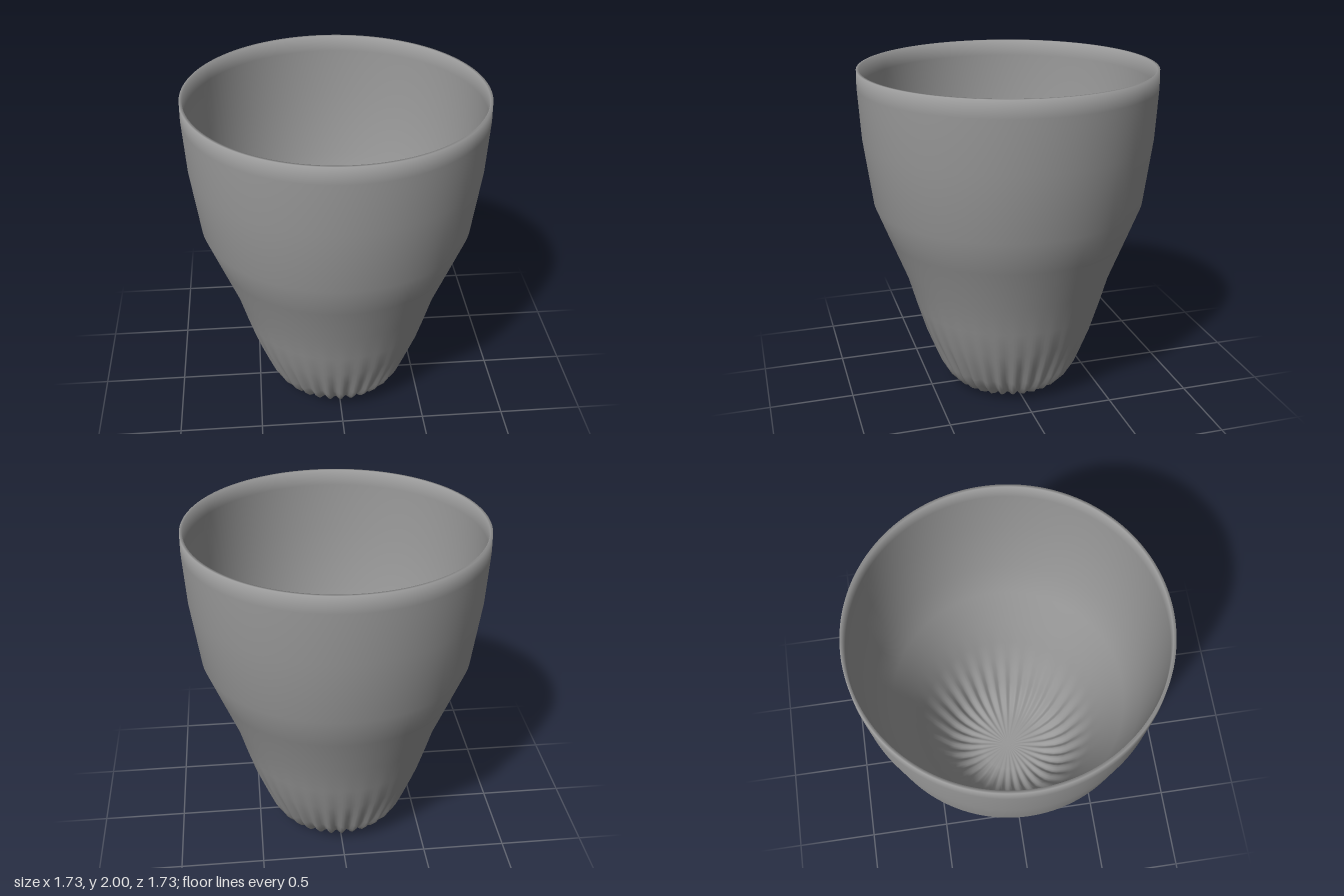
import * as THREE from 'three';
import { mergeVertices } from 'three/addons/utils/BufferGeometryUtils.js';

const FLUTES = 32;
const WALL = 0.016;

// Outer profile from base to rim: radius, height
const OUTER = [
  [0.2, 0.006], [0.27, 0.015], [0.335, 0.05], [0.385, 0.105], [0.42, 0.165], [0.47, 0.28], [0.52, 0.4],
  [0.57, 0.56], [0.62, 0.74], [0.72, 1.0], [0.8, 1.21], [0.85, 1.6], [0.866, 1.9], [0.864, 2.0],
];

// Flute depth: strongest on the base curve, fading up the wall and towards the centre
function fluteDepth(r, y) {
  const up = 1 - THREE.MathUtils.smoothstep(y, 0.05, 0.55);
  return 0.011 * up * THREE.MathUtils.smoothstep(r, 0.08, 0.3);
}

function cupGeometry() {
  // Closed wall: underside, outside, rim, inside, inner floor
  const inner = OUTER.map(([r, y], i) => [r - WALL, i === OUTER.length - 1 ? y : y + WALL * Math.max(0, 1 - y * 2)]).reverse();
  const profile = [[0, 0.006], ...OUTER, ...inner, [0, 0.022]].map(([r, y]) => new THREE.Vector2(r, y));
  let geometry = new THREE.LatheGeometry(profile, FLUTES * 6);

  // Press the flutes into both sides of the wall
  const p = geometry.attributes.position;
  for (let i = 0; i < p.count; i++) {
    const x = p.getX(i), y = p.getY(i), z = p.getZ(i);
    const r = Math.hypot(x, z);
    if (r < 0.01) continue;
    const wave = fluteDepth(r, y) * Math.cos(FLUTES * Math.atan2(x, z));
    const k = 1 + wave / r;
    p.setXYZ(i, x * k, Math.max(0, y - wave * 0.5), z * k);
  }

  geometry.deleteAttribute('uv');
  geometry.deleteAttribute('normal');
  geometry = mergeVertices(geometry, 1e-5);
  geometry.computeVertexNormals();

  // Soft rolled shading on both edges of the rim
  const q = geometry.attributes.position, n = geometry.attributes.normal;
  const v = new THREE.Vector3();
  for (let i = 0; i < q.count; i++) {
    if (q.getY(i) < 1.99) continue;
    const side = Math.hypot(q.getX(i), q.getZ(i)) > 0.856 ? 1 : -1;
    v.set(q.getX(i) * side, 0, q.getZ(i) * side).normalize().setY(1).normalize();
    n.setXYZ(i, v.x, v.y, v.z);
  }
  return geometry;
}

export function createModel() {
  const grey = new THREE.MeshStandardMaterial({ color: 0x999999 });
  grey.name = 'grey';

  const cup = new THREE.Mesh(cupGeometry(), grey);
  cup.name = 'cup';

  const model = new THREE.Group();
  model.name = 'flutedCup';
  model.add(cup);
  return model;
}
